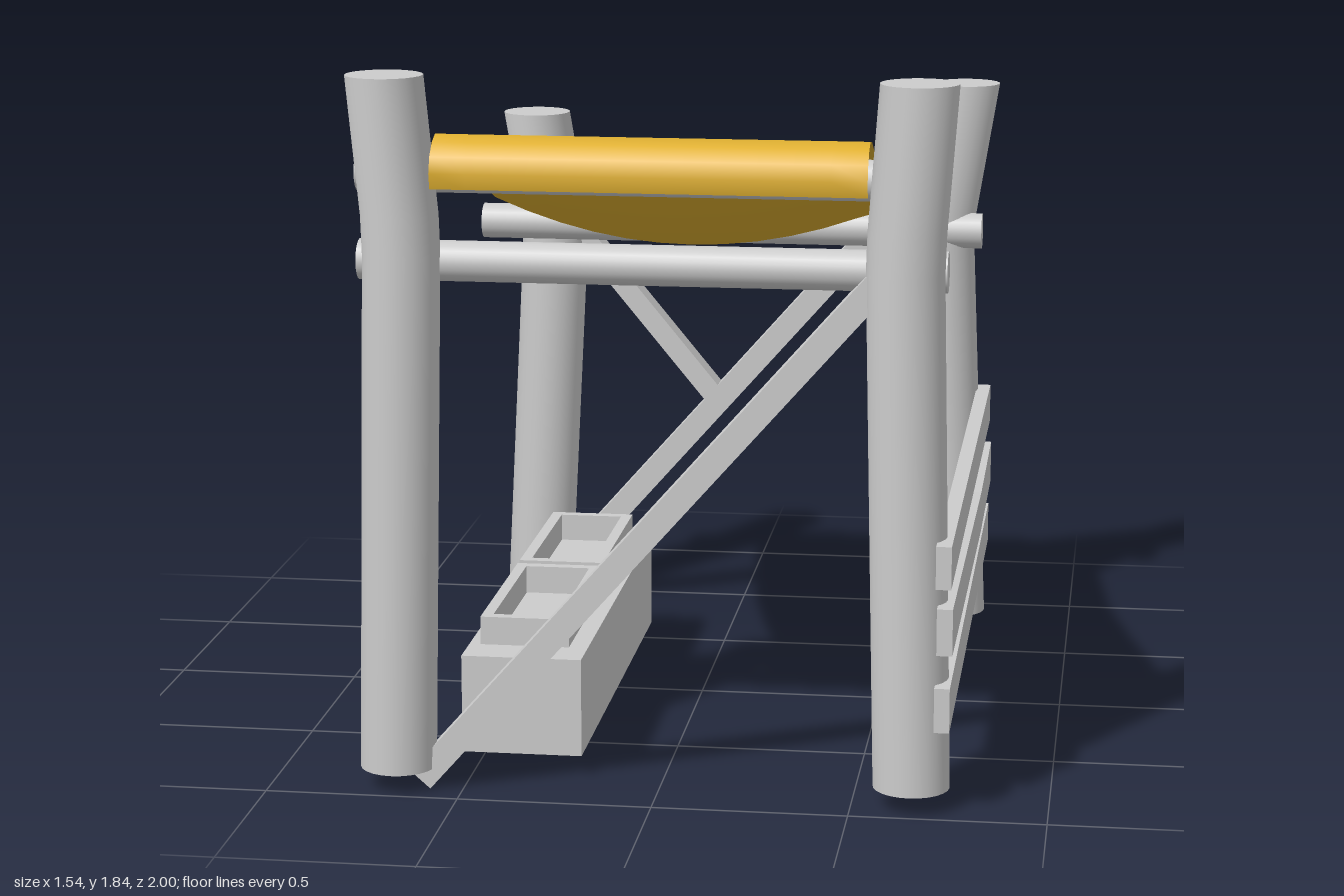
import * as THREE from 'three';

const grey = new THREE.MeshStandardMaterial({ color: 0xcccccc });
const yellow = new THREE.MeshStandardMaterial({ color: 0xe0b030, side: THREE.DoubleSide });

export function createModel() {
  const model = new THREE.Group();

  const add = (name, geo, mat = grey) => {
    const mesh = new THREE.Mesh(geo, mat);
    mesh.name = name;
    model.add(mesh);
    return mesh;
  };
  // Box given by its limits on each axis
  const box = (name, x0, x1, y0, y1, z0, z1) => {
    const mesh = add(name, new THREE.BoxGeometry(x1 - x0, y1 - y0, z1 - z0));
    mesh.position.set((x0 + x1) / 2, (y0 + y1) / 2, (z0 + z1) / 2);
    return mesh;
  };

  // Slightly bent log: cylinder rings moved onto the given centres (bottom to top)
  const post = (name, r, centres) => {
    const n = centres.length - 1;
    const geo = new THREE.CylinderGeometry(r, r, 1, 24, n);
    const p = geo.attributes.position;
    for (let i = 0; i < p.count; i++) {
      const c = centres[Math.round((p.getY(i) + 0.5) * n)];
      p.setXYZ(i, p.getX(i) + c[0], c[1], p.getZ(i) + c[2]);
    }
    add(name, geo);
  };
  post('frontRightPost', 0.098, [[0.652, 0.06, 0.9], [0.622, 1.38, 0.9], [0.625, 1.48, 0.9], [0.652, 1.85, 0.9]]);
  post('frontLeftPost', 0.098, [[-0.672, 0.06, 0.9], [-0.642, 1.4, 0.9], [-0.645, 1.5, 0.9], [-0.678, 1.85, 0.9]]);
  post('backRightPost', 0.095, [[0.652, 0.035, -0.842], [0.605, 1.15, -0.842], [0.61, 1.25, -0.842], [0.672, 1.63, -0.842]]);
  post('backLeftPost', 0.098, [[-0.615, 0.035, -0.868], [-0.565, 1.12, -0.9], [-0.568, 1.22, -0.9], [-0.612, 1.52, -0.868]]);

  // Round crossbars between the posts
  for (const [name, y, z] of [['upperFrontBar', 1.6, 0.845], ['lowerFrontBar', 1.375, 0.845], ['backBar', 1.2, -0.792]]) {
    const bar = add(name, new THREE.CylinderGeometry(0.052, 0.052, 1.485, 20));
    bar.rotation.z = Math.PI / 2;
    bar.position.set(-0.018, y, z);
  }

  // Diagonal braces lying in a plane of constant z
  const brace = (name, x0, y0, x1, y1, z, w) => {
    const dx = x1 - x0, dy = y1 - y0;
    const mesh = add(name, new THREE.BoxGeometry(Math.hypot(dx, dy), w, 0.078));
    mesh.rotation.z = Math.atan2(dy, dx);
    mesh.position.set((x0 + x1) / 2, (y0 + y1) / 2, z);
  };
  brace('frontBrace', -0.61, 0.03, 0.61, 1.415, 0.89, 0.068);
  brace('backBrace', -0.61, 0.03, 0.61, 1.415, -0.896, 0.068);
  brace('shortBackBrace', -0.55, 1.24, -0.08, 0.67, -0.896, 0.06);

  // Side rails on the right; the middle one sags a little
  box('topRail', 0.713, 0.752, 0.605, 0.715, -0.9, 1);
  box('bottomRail', 0.713, 0.752, 0.235, 0.35, -0.9, 1);
  const sagging = new THREE.Shape();
  [[1, 0.435], [-0.35, 0.405], [-0.9, 0.42], [-0.9, 0.54], [-0.35, 0.52], [1, 0.555]]
    .forEach(([z, y], i) => (i ? sagging.lineTo(-z, y) : sagging.moveTo(-z, y)));
  const middleRail = add('middleRail', new THREE.ExtrudeGeometry(sagging, { depth: 0.04, bevelEnabled: false }));
  middleRail.rotation.y = Math.PI / 2;
  middleRail.position.x = 0.717;

  // Storage chest with two open trays on top
  box('chest', -0.53, -0.215, 0.06, 0.32, -0.485, 0.775);
  for (const [z0, z1] of [[0.125, 0.665], [-0.45, 0.095]]) {
    const w = 0.235, d = z1 - z0, t = 0.03;
    const rim = new THREE.Shape();
    rim.moveTo(0, 0).lineTo(w, 0).lineTo(w, d).lineTo(0, d).closePath();
    const hole = new THREE.Path();
    hole.moveTo(t, t).lineTo(t, d - t).lineTo(w - t, d - t).lineTo(w - t, t).closePath();
    rim.holes.push(hole);
    const tray = add('trayRim', new THREE.ExtrudeGeometry(rim, { depth: 0.085, bevelEnabled: false }));
    tray.rotation.x = -Math.PI / 2;
    tray.position.set(-0.5, 0.31, z1);
  }

  // Canvas: rows of [z, edge height, middle height], wrapped over front and back bars
  const rows = [
    [0.935, 1.57, 1.57], [0.945, 1.61, 1.61], [0.93, 1.65, 1.65], [0.895, 1.682, 1.682], [0.85, 1.697, 1.697],
    [0.8, 1.69, 1.675], [0.4, 1.535, 1.44], [0, 1.4, 1.28], [-0.4, 1.33, 1.247], [-0.74, 1.27, 1.238],
    [-0.8, 1.262, 1.252], [-0.875, 1.25, 1.24], [-0.925, 1.215, 1.21], [-0.93, 1.17, 1.165],
  ];
  const cols = 12;
  const canvas = new THREE.PlaneGeometry(1, 1, cols, rows.length - 1);
  const p = canvas.attributes.position;
  for (let i = 0; i < p.count; i++) {
    const [z, edge, middle] = rows[Math.floor(i / (cols + 1))];
    const u = (i % (cols + 1)) / cols;
    const back = (0.945 - z) / 1.875;
    const x = THREE.MathUtils.lerp(-0.56 - 0.028 * back, 0.53 - 0.03 * back, u);
    p.setXYZ(i, x, edge + (middle - edge) * (1 - (2 * u - 1) ** 2), z);
  }
  // Rows run front to back, so flip the winding to face up
  const idx = canvas.index.array;
  for (let i = 0; i < idx.length; i += 3) [idx[i], idx[i + 1]] = [idx[i + 1], idx[i]];
  canvas.computeVertexNormals();
  add('canvas', canvas, yellow);

  return model;
}
